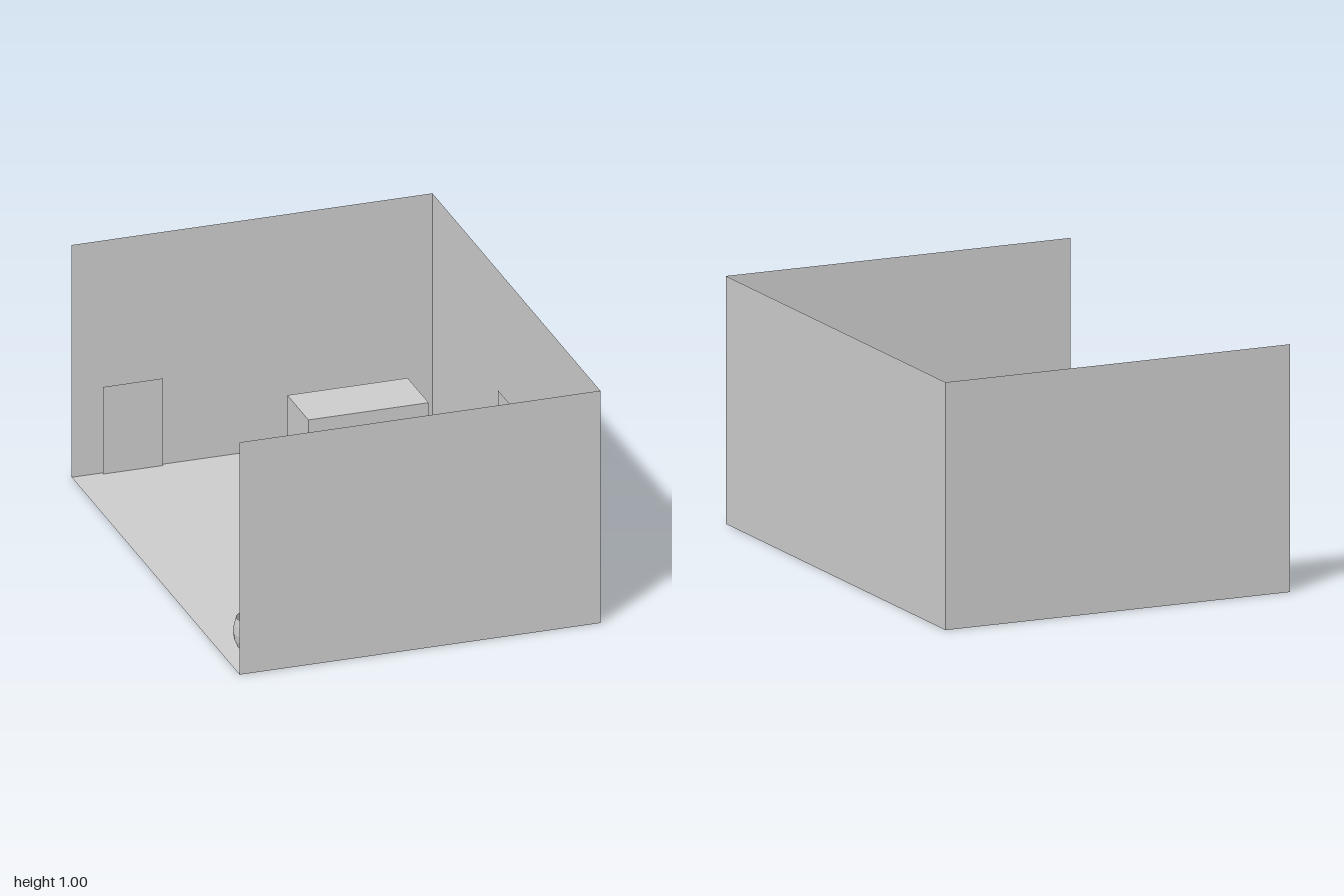
import * as THREE from 'three';

const grey = new THREE.MeshStandardMaterial({ color: 0xcccccc });
const thin = new THREE.MeshStandardMaterial({ color: 0xcccccc, side: THREE.DoubleSide });
const faceted = new THREE.MeshStandardMaterial({ color: 0xcccccc, flatShading: true });
const thinFaceted = new THREE.MeshStandardMaterial({ color: 0xcccccc, flatShading: true, side: THREE.DoubleSide });

const W = 1.5, H = 1, D = 2; // room width, height, depth

export function createModel() {
  const room = new THREE.Group();
  room.name = 'room';

  const add = (name, geometry, material, [x, y, z], [rx, ry, rz] = [0, 0, 0], parent = room) => {
    const mesh = new THREE.Mesh(geometry, material);
    mesh.name = name;
    mesh.position.set(x, y, z);
    mesh.rotation.set(rx, ry, rz);
    parent.add(mesh);
    return mesh;
  };
  const plane = (w, h) => new THREE.PlaneGeometry(w, h);
  const q = Math.PI / 2;

  // Shell: floor and three walls, open on the -x side
  add('floor', plane(W, D), thin, [0, 0, 0], [-q, 0, 0]);
  add('backWall', plane(W, H), thin, [0, H / 2, -D / 2]);
  add('frontWall', plane(W, H), thin, [0, H / 2, D / 2], [0, Math.PI, 0]);
  add('leftWall', plane(D, H), thin, [W / 2, H / 2, 0], [0, -q, 0]);

  // Door on the back wall, window on the side wall
  add('door', plane(0.25, 0.375), thin, [-0.5, 0.1875, -0.988]);
  add('window', plane(0.375, 0.25), thin, [0.738, 0.375, 0], [0, -q, 0]);

  // Desk and stool
  add('desk', new THREE.BoxGeometry(0.5, 0.25, 0.25), grey, [0.375, 0.125, -0.8125]);
  add('stool', new THREE.BoxGeometry(0.125, 0.125, 0.125), grey, [0.375, 0.0625, -0.5625]);

  // Flattened cushion with a cone lying on top
  const cushion = add('cushion', new THREE.SphereGeometry(1, 32, 16), faceted, [0.3125, 0.125, 0.75]);
  cushion.scale.set(0.3125, 0.125, 0.156);
  add('cone', new THREE.ConeGeometry(0.043, 0.222, 16), grey, [0.326, 0.29, 0.738], [0, 0, -q]);

  // Barrel-shaped pot, open at the top, with a leaning stick
  const pot = new THREE.Group();
  pot.name = 'potWithStick';
  pot.position.set(-0.625, 0, 0.75);
  room.add(pot);
  const profile = [[0, 0.002], [0.045, 0.002], [0.057, 0.03], [0.0615, 0.06], [0.058, 0.095], [0.05, 0.125]]
    .map(([r, y]) => new THREE.Vector2(r, y));
  add('pot', new THREE.LatheGeometry(profile, 20), thinFaceted, [0, 0, 0], [0, 0, 0], pot);
  add('stick', new THREE.CylinderGeometry(0.0105, 0.0105, 0.18, 12), grey, [0, 0.122, 0], [0.4, 0, 0], pot);

  return room;
}
